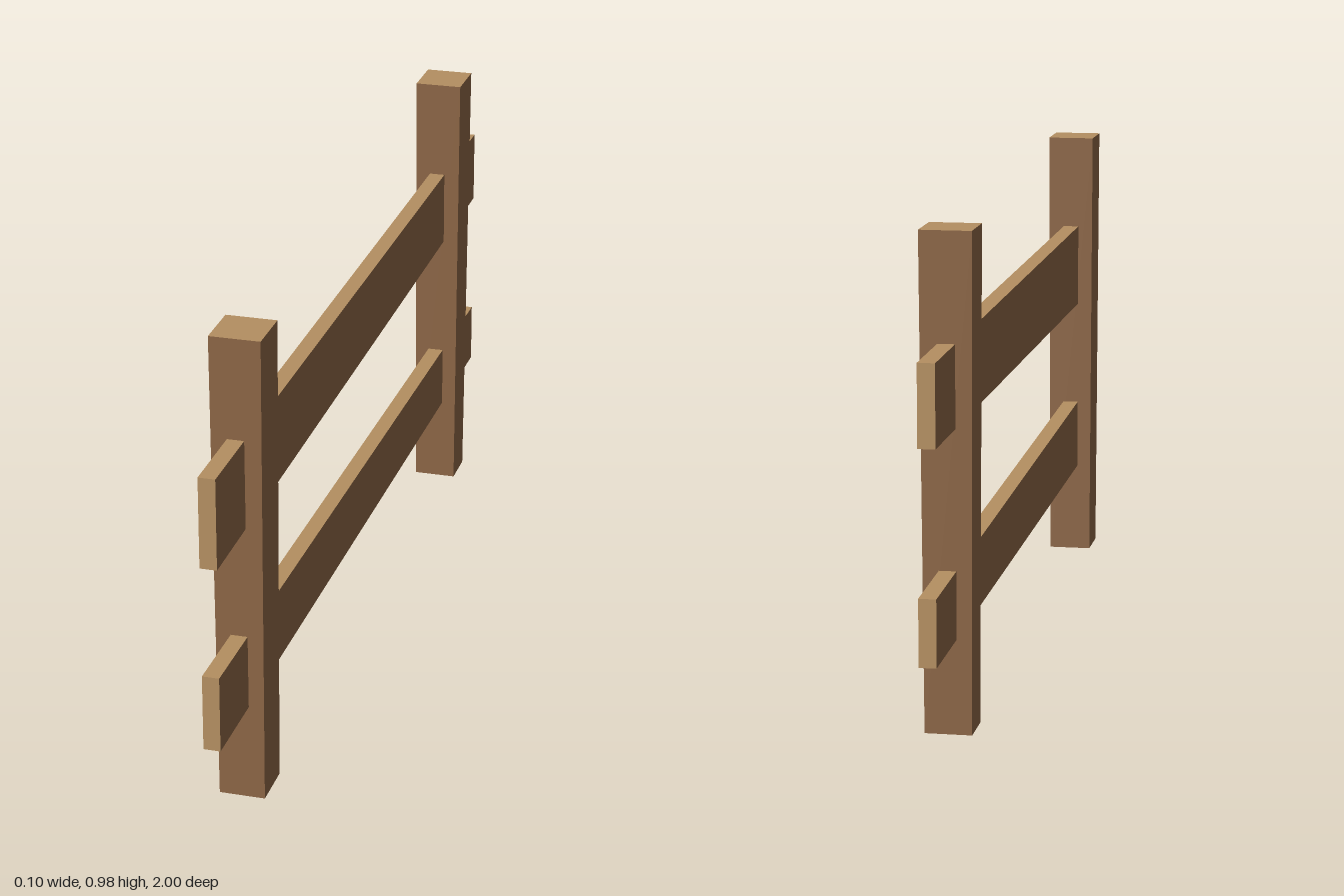
import * as THREE from 'three';

const material = (name, color) => {
  const m = new THREE.MeshStandardMaterial({ color, side: THREE.DoubleSide });
  m.name = name;
  return m;
};

// Moves each corner of a unit box by a rule
function shapedBox(rule) {
  const geo = new THREE.BoxGeometry(2, 2, 2);
  const p = geo.attributes.position;
  for (let i = 0; i < p.count; i++) {
    p.setXYZ(i, ...rule(p.getX(i), p.getY(i), p.getZ(i)));
  }
  geo.computeVertexNormals();
  return geo;
}

const pick = (sign, range) => (sign < 0 ? range[0] : range[1]);

export function createModel() {
  const bark = material('brown wood', 0x8b6545);
  const cut = material('light cut wood', 0xb48f61);
  const group = new THREE.Group();
  group.name = 'fence';

  // Posts: slightly wider at the top, light cap, open underneath
  const posts = [
    { name: 'frontPost', foot: [0.72, 0.82], head: [0.718, 0.825] },
    { name: 'backPost', foot: [-0.8, -0.713], head: [-0.81, -0.705] },
  ];
  for (const { name, foot, head } of posts) {
    const geo = shapedBox((x, y, z) => [
      pick(x, y < 0 ? [-0.047, 0.046] : [-0.051, 0.051]),
      y < 0 ? 0 : 0.978,
      pick(z, y < 0 ? foot : head),
    ]);
    // Leave out the bottom face, which is the fourth of six
    const index = Array.from(geo.index.array);
    index.splice(18, 6);
    geo.setIndex(index);
    geo.clearGroups();
    geo.addGroup(0, 12, 0);
    geo.addGroup(12, 6, 1);
    geo.addGroup(18, 12, 0);
    const post = new THREE.Mesh(geo, [bark, cut]);
    post.name = name;
    group.add(post);
  }

  // Rails: tapering planks with brown broad sides and light cut edges
  const rails = [
    { name: 'upperRail', front: [0.587, 0.773], back: [0.602, 0.762] },
    { name: 'lowerRail', front: [0.203, 0.36], back: [0.188, 0.32] },
  ];
  for (const { name, front, back } of rails) {
    const geo = shapedBox((x, y, z) => [
      pick(x, [-0.018, 0.016]),
      pick(y, z > 0 ? front : back),
      z,
    ]);
    const rail = new THREE.Mesh(geo, [bark, bark, cut, cut, cut, cut]);
    rail.name = name;
    group.add(rail);
  }
  return group;
}
